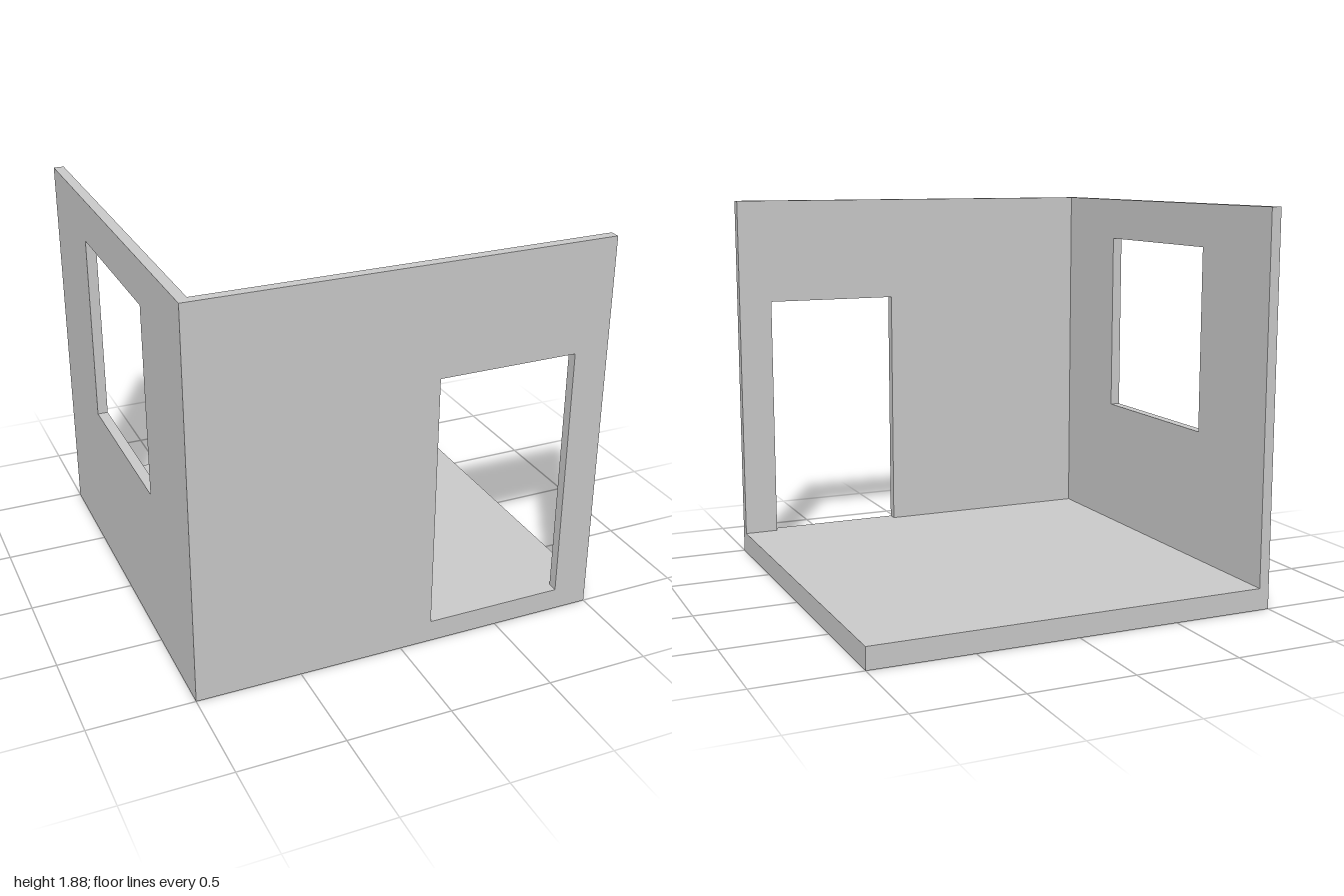
import * as THREE from 'three';

const T = 0.05;       // wall thickness
const FLOOR = 0.105;  // floor height
const TOP = 1.88;     // wall height

// Closed rectangle, traced counter-clockwise
function rect(path, x0, y0, x1, y1) {
  path.moveTo(x0, y0);
  path.lineTo(x1, y0);
  path.lineTo(x1, y1);
  path.lineTo(x0, y1);
  path.closePath();
  return path;
}

// Upright wall with one rectangular opening
function wallGeometry(u0, u1, opening) {
  const shape = rect(new THREE.Shape(), u0, 0, u1, TOP);
  shape.holes.push(rect(new THREE.Path(), ...opening));
  return new THREE.ExtrudeGeometry(shape, { depth: T, bevelEnabled: false });
}

export function createModel() {
  const group = new THREE.Group();
  group.name = 'cornerRoom';
  const material = new THREE.MeshStandardMaterial({ color: 0xcccccc, flatShading: true });
  const add = (name, geometry) => {
    const mesh = new THREE.Mesh(geometry, material);
    mesh.name = name;
    group.add(mesh);
  };

  // Floor slab, fitted inside the two walls
  add('floor', new THREE.BoxGeometry(2 - T, FLOOR, 2 - T).translate(T / 2, FLOOR / 2, -T / 2));

  // Front wall with a doorway that starts at floor level
  add('frontWall', wallGeometry(-1, 1, [0.155, FLOOR, 0.83, 1.35]).translate(0, 0, 1 - T));

  // Side wall with a window, turned so its length runs along z
  add('sideWall', wallGeometry(-1, 1 - T, [-0.44, 0.755, 0.45, 1.67])
    .rotateY(-Math.PI / 2).translate(-1 + T, 0, 0));

  return group;
}
